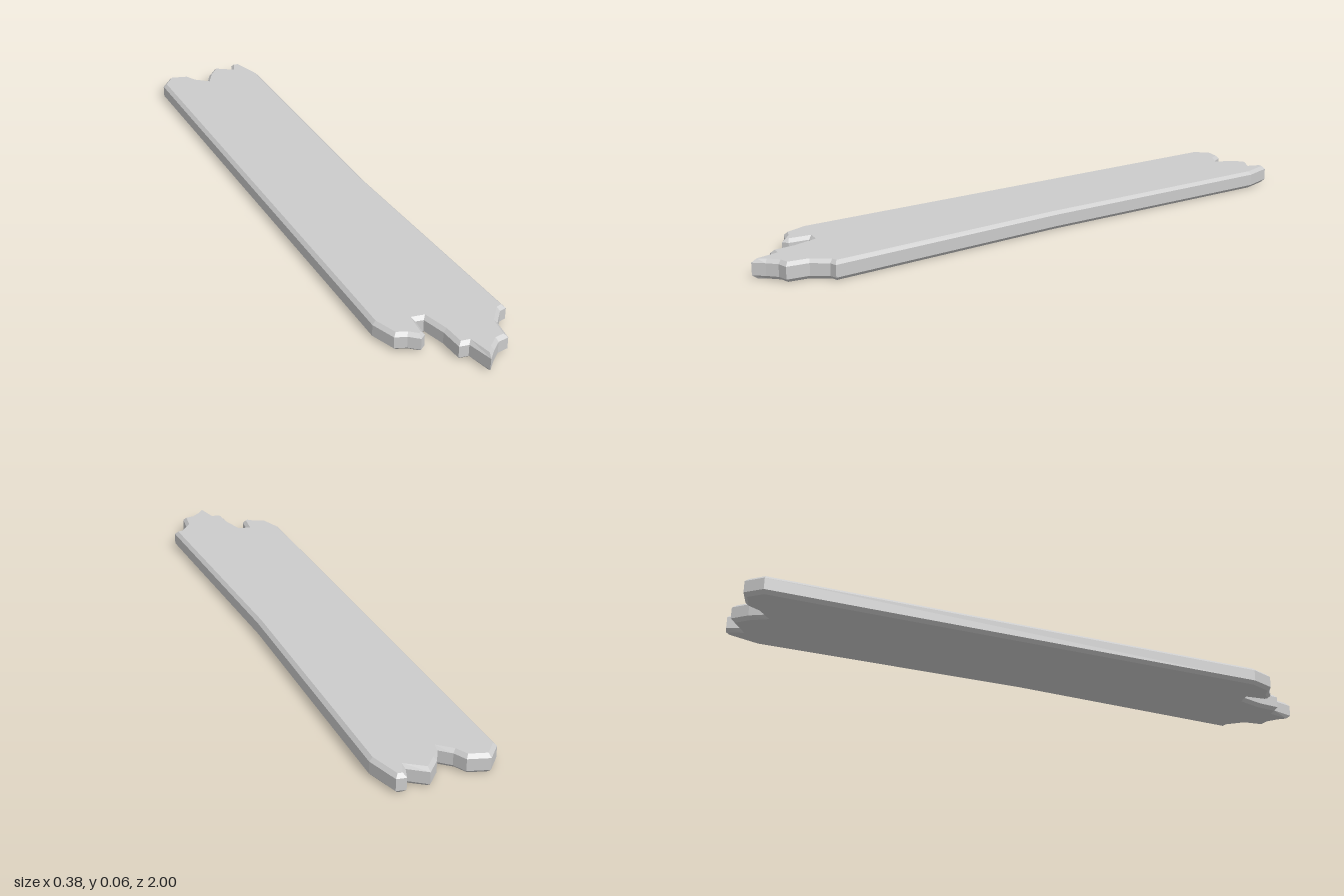
import * as THREE from 'three';

// Plank outline as [x, z], clockwise seen from above, starting at the back left corner
const OUTLINE = [
  // splintered back end
  [-0.185, -0.95], [-0.14, -1.0], [-0.075, -0.98], [-0.055, -0.94], [-0.022, -0.91],
  [0.003, -0.955], [0.045, -1.0], [0.1, -0.96], [0.115, -1.0], [0.145, -0.995], [0.175, -0.89],
  // slightly bent long side
  [0.163, 0], [0.191, 0.82],
  // splintered front end with a deep notch
  [0.168, 0.825], [0.13, 0.87], [0.12, 0.94], [0.085, 0.945], [0.055, 0.97], [0.025, 1.0],
  [0.005, 0.92], [-0.025, 0.915], [-0.03, 0.84], [-0.05, 0.765], [-0.075, 0.76],
  [-0.082, 0.825], [-0.1, 0.838], [-0.13, 0.812], [-0.165, 0.798], [-0.192, 0.72],
];

export function createModel() {
  const group = new THREE.Group();
  group.name = 'brokenPlank';

  // The shape lies in x / -z, then is laid flat; the bevel goes inward from the outline
  const shape = new THREE.Shape(OUTLINE.map(([x, z]) => new THREE.Vector2(x, -z)));
  const bevel = 0.011;
  const geometry = new THREE.ExtrudeGeometry(shape, {
    depth: 0.038,
    bevelEnabled: true,
    bevelThickness: bevel,
    bevelSize: bevel,
    bevelOffset: -bevel,
    bevelSegments: 1,
  });
  geometry.rotateX(-Math.PI / 2);
  geometry.translate(0, bevel, 0);

  const material = new THREE.MeshStandardMaterial({ color: 0xcccccc, flatShading: true });
  const board = new THREE.Mesh(geometry, material);
  board.name = 'board';
  group.add(board);
  return group;
}
